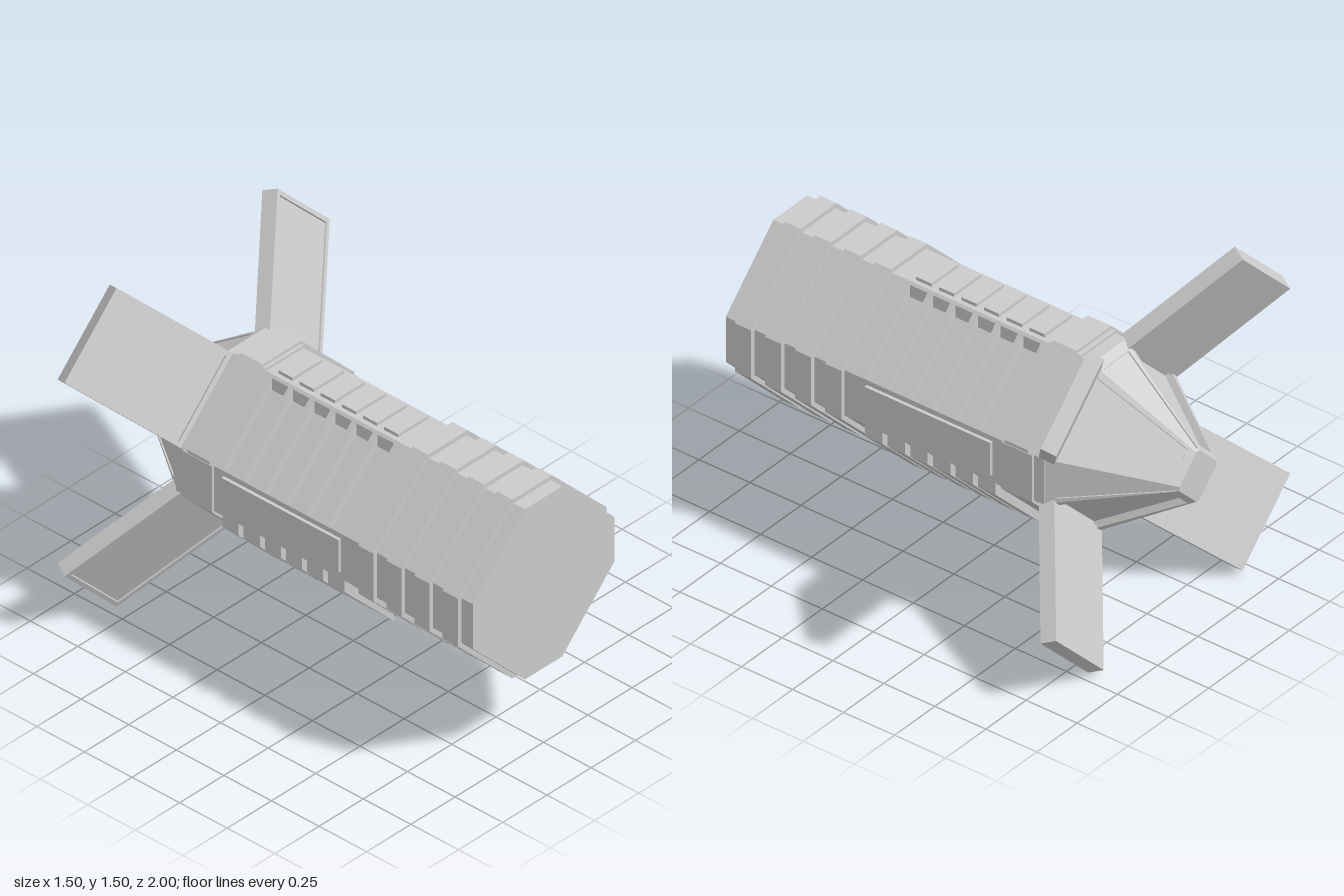
import * as THREE from 'three';

const material = new THREE.MeshStandardMaterial({ color: 0xcccccc, flatShading: true, side: THREE.DoubleSide });

function add(parent, name, geometry, x = 0, y = 0, z = 0) {
  const mesh = new THREE.Mesh(geometry, material);
  mesh.name = name;
  mesh.position.set(x, y, z);
  parent.add(mesh);
  return mesh;
}

// Octagon with half-width h and half-length c of its upright and level sides
const octagon = (h, c) =>
  [[h, -c], [h, c], [c, h], [-c, h], [-h, c], [-h, -c], [-c, -h], [c, -h]].map(p => new THREE.Vector2(...p));

// Solid slice of a cross-section between two depths
function slice(parent, name, points, back, front, y = 0) {
  const geometry = new THREE.ExtrudeGeometry(new THREE.Shape(points), { depth: front - back, bevelEnabled: false });
  return add(parent, name, geometry, 0, y, back);
}

// Four-cornered facet with a framed panel sunk into it
function sunkenFacet(a, b, c, d, u0, v0, v1, depth) {
  const normal = d.clone().sub(a).cross(b.clone().sub(a)).normalize();
  const at = (u, v, sink = 0) => a.clone().lerp(b, u).lerp(d.clone().lerp(c, u), v).addScaledVector(normal, -sink);
  const outer = [a, b, c, d];
  const uv = [[u0, v0], [1 - u0, v0], [1 - u0, v1], [u0, v1]];
  const rim = uv.map(p => at(...p));
  const floor = uv.map(p => at(...p, depth));
  const triangles = [];
  const quad = (p, q, r, s) => triangles.push(p, s, r, p, r, q);
  for (let i = 0; i < 4; i++) {
    const j = (i + 1) % 4;
    quad(outer[i], outer[j], rim[j], rim[i]);
    quad(rim[i], rim[j], floor[j], floor[i]);
  }
  quad(...floor);
  const geometry = new THREE.BufferGeometry().setFromPoints(triangles);
  geometry.computeVertexNormals();
  return geometry;
}

function rectangle(Type, w, y0, y1) {
  return new Type([[-w, y0], [w, y0], [w, y1], [-w, y1]].map(p => new THREE.Vector2(...p)));
}

// Swept-back flat fin with a thin raised border on its front
function makeFin(angle) {
  const fin = new THREE.Group();
  fin.name = 'fin';
  const blade = new THREE.Group();
  blade.position.set(0, 0.357, -0.535);
  blade.rotation.x = -Math.PI / 6;
  const w = 0.2085, length = 0.571;
  add(blade, 'finBlade', new THREE.BoxGeometry(2 * w, length, 0.058), 0, length / 2, -0.038);
  const border = rectangle(THREE.Shape, w, 0, length);
  border.holes.push(rectangle(THREE.Path, w - 0.02, 0.02, length - 0.02));
  add(blade, 'finBorder', new THREE.ExtrudeGeometry(border, { depth: 0.009, bevelEnabled: false }), 0, 0, -0.009);
  fin.add(blade);
  fin.rotation.z = angle;
  return fin;
}

export function createModel() {
  const model = new THREE.Group();
  model.name = 'model';
  const hull = new THREE.Group();
  hull.name = 'hull';
  hull.position.y = 0.755;
  model.add(hull);

  const body = octagon(0.4, 0.105);

  // Ribbed slices: grooves in the upper slopes, ribs under the lower slopes
  const half = [[0.105, 0.4], [0.115, 0.39], [0.115, 0.335], [0.395, 0.055], [0.395, 0.11], [0.4, 0.105],
    [0.4, -0.105], [0.395, -0.11], [0.395, -0.165], [0.115, -0.445], [0.115, -0.39], [0.105, -0.4]];
  const ribbed = [...half, ...half.map(([x, y]) => [-x, y]).reverse()].map(p => new THREE.Vector2(...p));
  let front = 1;
  for (let i = 0; i < 6; i++) {
    const z = 0.278 - i * 0.111;
    slice(hull, 'body', body, z + 0.0425, front);
    slice(hull, 'ribbedBody', ribbed, z - 0.0425, z + 0.0425);
    add(hull, 'topPlate', new THREE.BoxGeometry(0.17, 0.03, 0.074), 0, 0.4, z);
    front = z - 0.0425;
  }
  slice(hull, 'body', body, -0.56, front);

  // Forward rings
  for (const z of [0.9, 0.752, 0.605, 0.457]) slice(hull, 'ring', octagon(0.42, 0.112), z - 0.04, z + 0.04);

  // Rear collar with a raised upper band
  slice(hull, 'collar', octagon(0.412, 0.108), -0.512, -0.36);
  slice(hull, 'collarBand', octagon(0.41, 0.108), -0.49, -0.375, 0.015);

  // Long side plates
  for (const side of [-1, 1])
    add(hull, 'sidePlate', new THREE.BoxGeometry(0.03, 0.155, 0.615), side * 0.4, 0.005, 0);

  // Tapered tail: broad framed slopes alternating with narrow wedges
  const tail = octagon(0.115, 0.01);
  const ring = (points, z) => points.map(p => new THREE.Vector3(p.x, p.y, z));
  const base = ring(body, -0.555), tip = ring(tail, -1);
  for (let i = 0; i < 8; i++) {
    const j = (i + 1) % 8;
    const sizes = i % 2 ? [0.08, 0.07, 0.93, 0.03] : [0.1, 0.1, 0.98, 0.006];
    add(hull, i % 2 ? 'tailSlope' : 'tailWedge', sunkenFacet(base[i], base[j], tip[j], tip[i], ...sizes));
  }
  slice(hull, 'tailCap', tail, -1, -0.985);

  // Four diagonal fins
  for (let i = 0; i < 4; i++) hull.add(makeFin(Math.PI / 4 + i * Math.PI / 2));

  return model;
}
